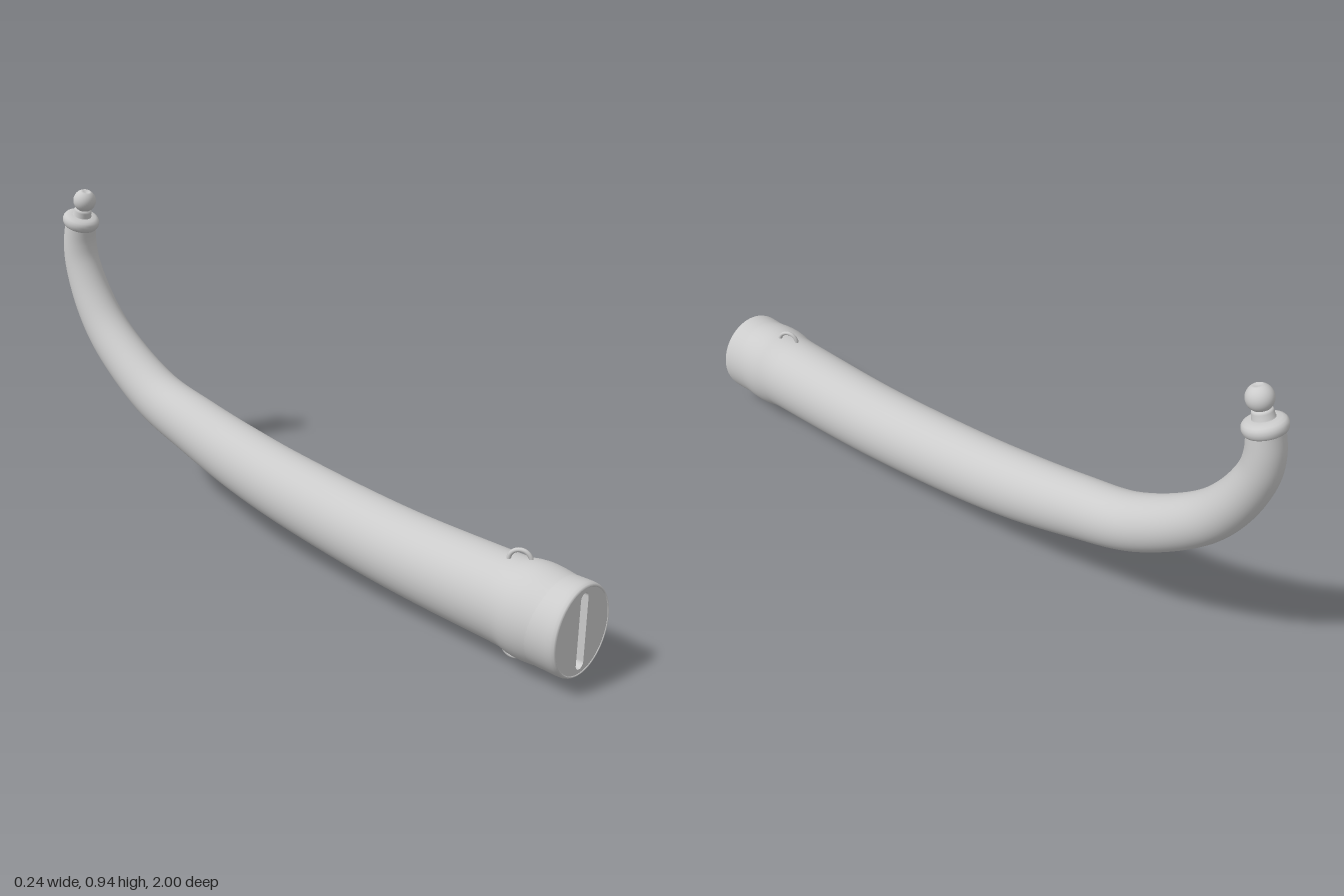
import * as THREE from 'three';

const material = new THREE.MeshStandardMaterial({ color: 0xcccccc, side: THREE.DoubleSide });
const CENTRE_Y = 0.157; // height of the wide end's axis
const SQUASH = 0.93; // the wide end is slightly narrower than tall

function part(name, geometry) {
  const mesh = new THREE.Mesh(geometry, material);
  mesh.name = name;
  return mesh;
}

const profile = (pairs) => pairs.map(([r, h]) => new THREE.Vector2(r, h));

// Elliptical tube swept through stations of [z, y, radius in the bend plane, half width]
function hornGeometry(stations, rings = 90, sides = 48) {
  const path = new THREE.CatmullRomCurve3(stations.map(([z, y]) => new THREE.Vector3(0, y, z)));
  const sizes = new THREE.CatmullRomCurve3(stations.map(([, , r, w]) => new THREE.Vector3(w, r, 0)));
  const positions = [];
  const index = [];
  for (let i = 0; i <= rings; i++) {
    const t = i / rings;
    const p = path.getPoint(t);
    const dir = path.getTangent(t);
    const size = sizes.getPoint(t);
    for (let j = 0; j < sides; j++) {
      const a = (j / sides) * Math.PI * 2;
      const n = size.y * Math.sin(a);
      positions.push(size.x * Math.cos(a), p.y + dir.z * n, p.z - dir.y * n);
      if (i < rings) {
        const k = (j + 1) % sides;
        const row = i * sides;
        const next = row + sides;
        index.push(row + j, row + k, next + j, row + k, next + k, next + j);
      }
    }
  }
  const geometry = new THREE.BufferGeometry();
  geometry.setAttribute('position', new THREE.Float32BufferAttribute(positions, 3));
  geometry.setIndex(index);
  geometry.computeVertexNormals();
  return geometry;
}

// Upright slot with round ends
function slotPath(PathType, halfWidth, halfHeight) {
  const path = new PathType();
  const h = halfHeight - halfWidth;
  path.absarc(0, h, halfWidth, 0, Math.PI, false);
  path.absarc(0, -h, halfWidth, Math.PI, Math.PI * 2, false);
  path.closePath();
  return path;
}

export function createModel() {
  const model = new THREE.Group();
  model.name = 'horn';

  // Curved tapering body
  model.add(part('hornBody', hornGeometry([
    [0.98, 0.158, 0.121, 0.112],
    [0.8, 0.161, 0.121, 0.112],
    [0.4, 0.172, 0.113, 0.106],
    [0, 0.212, 0.106, 0.098],
    [-0.2, 0.245, 0.1, 0.093],
    [-0.4, 0.291, 0.09, 0.085],
    [-0.6, 0.35, 0.08, 0.077],
    [-0.8, 0.48, 0.07, 0.068],
    [-0.888, 0.585, 0.062, 0.062],
    [-0.942, 0.7, 0.054, 0.055],
    [-0.951, 0.765, 0.05, 0.052],
    [-0.943, 0.835, 0.046, 0.048],
  ])));

  // Sleeve around the wide end
  const sleeve = new THREE.LatheGeometry(profile([
    [0.116, 0.868], [0.1235, 0.87], [0.125, 0.873], [0.127, 0.975],
    [0.1265, 0.988], [0.124, 0.996], [0.12, 1], [0.117, 0.998], [0.117, 0.96],
  ]), 64);
  sleeve.rotateX(Math.PI / 2).scale(SQUASH, 1, 1).translate(0, CENTRE_Y, 0);
  model.add(part('endSleeve', sleeve));

  // End plug with an upright grip slot
  const face = new THREE.Shape();
  face.absellipse(0, 0, 0.119 * SQUASH, 0.119, 0, Math.PI * 2, false, 0);
  face.holes.push(slotPath(THREE.Path, 0.016, 0.106));
  const plug = new THREE.ExtrudeGeometry(face, { depth: 0.03, bevelEnabled: false, curveSegments: 32 });
  plug.translate(0, CENTRE_Y, 0.968);
  model.add(part('endPlug', plug));

  const floor = new THREE.ShapeGeometry(slotPath(THREE.Shape, 0.017, 0.107), 16);
  floor.translate(0, CENTRE_Y, 0.972);
  model.add(part('slotFloor', floor));

  // Strap rings above and below
  for (const [name, y] of [['upperStrapRing', 0.28], ['lowerStrapRing', 0.035]]) {
    const ring = part(name, new THREE.TorusGeometry(0.029, 0.006, 12, 36));
    ring.position.set(0, y, 0.803);
    ring.rotation.y = -1.15;
    model.add(ring);
  }

  // Tip: collar, then neck and ball stopper, leaning forward
  const tip = new THREE.Group();
  tip.name = 'tip';
  tip.position.set(0, 0.84, -0.94);
  tip.rotation.x = 0.34;
  tip.add(part('collar', new THREE.LatheGeometry(profile([
    [0, -0.018], [0.044, -0.018], [0.051, -0.016], [0.0555, -0.009], [0.057, 0],
    [0.0555, 0.008], [0.051, 0.014], [0.043, 0.018], [0.03, 0.02], [0, 0.02],
  ]), 48)));
  tip.add(part('neck', new THREE.LatheGeometry(profile([
    [0.031, 0.018], [0.028, 0.022], [0.027, 0.036], [0.025, 0.042], [0.018, 0.044],
  ]), 40)));
  const ball = [];
  for (let i = 0; i <= 20; i++) {
    const a = -Math.PI / 2 + (i / 20) * 2.78;
    ball.push([Math.max(0, 0.035 * Math.cos(a)), 0.071 + 0.035 * Math.sin(a)]);
  }
  ball.push([0.01, 0.101], [0, 0.1]); // small dimple on top
  tip.add(part('ballStopper', new THREE.LatheGeometry(profile(ball), 40)));
  model.add(tip);

  return model;
}
